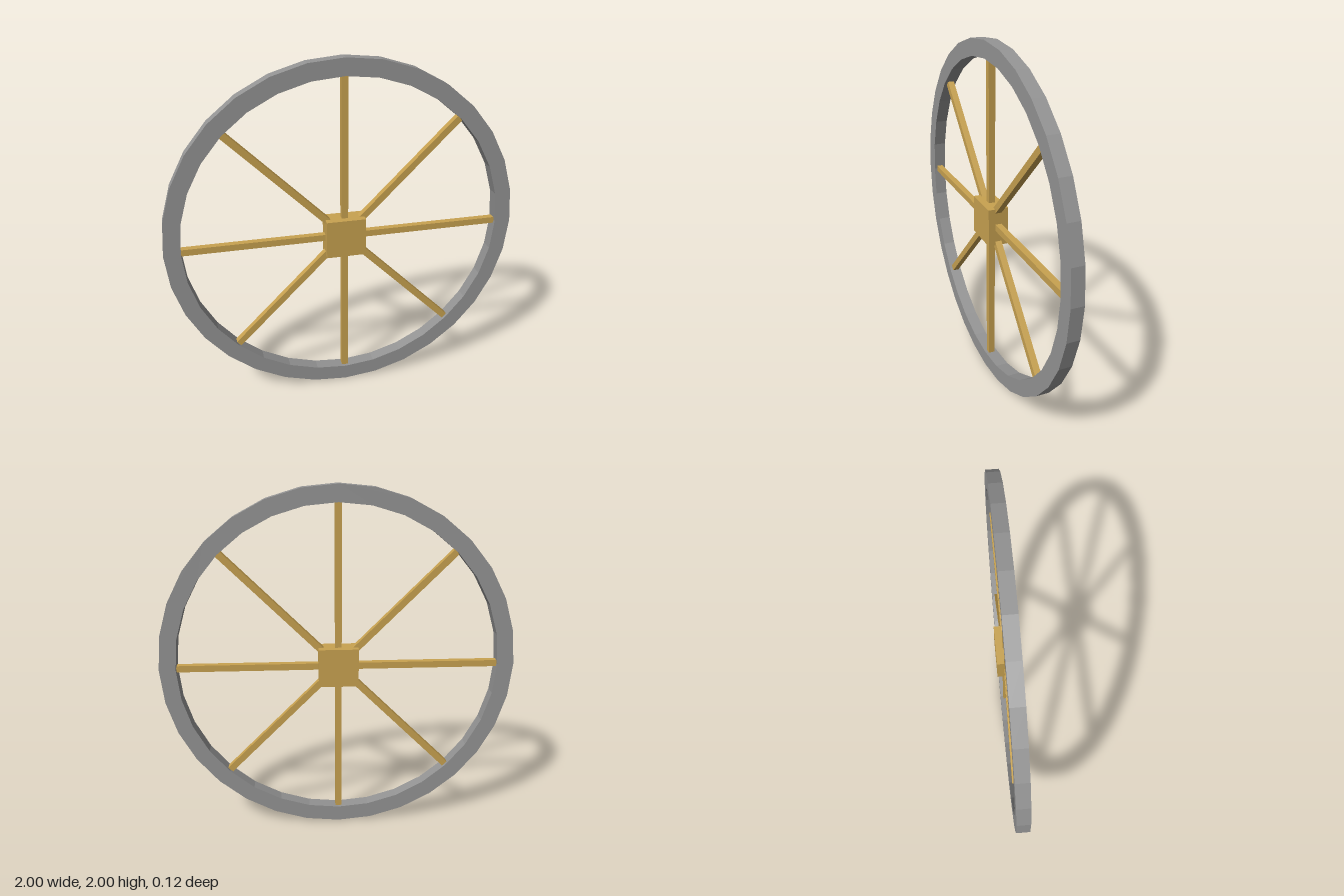
import * as THREE from 'three';

const SIDES = 32, OUTER = 1, INNER = 0.907, RIM_DEPTH = 0.072;
const SPOKES = 8, SPOKE_SIZE = 0.037;

// Corners of a regular polygon with a vertex on each axis
function ring(radius) {
  return Array.from({ length: SIDES }, (_, i) => {
    const a = (i / SIDES) * Math.PI * 2;
    return new THREE.Vector2(Math.cos(a) * radius, Math.sin(a) * radius);
  });
}

export function createModel() {
  const wheel = new THREE.Group();
  wheel.name = 'wheel';
  const iron = new THREE.MeshStandardMaterial({ color: 0x949494, flatShading: true });
  const wood = new THREE.MeshStandardMaterial({ color: 0xc8a250, flatShading: true });

  const add = (name, geometry, material) => {
    const mesh = new THREE.Mesh(geometry, material);
    mesh.name = name;
    wheel.add(mesh);
    return mesh;
  };

  // Faceted rim, a flat ring with square edges
  const shape = new THREE.Shape(ring(OUTER));
  shape.holes.push(new THREE.Path(ring(INNER)));
  const rim = new THREE.ExtrudeGeometry(shape, { depth: RIM_DEPTH, bevelEnabled: false });
  rim.translate(0, 0, -RIM_DEPTH / 2);
  add('rim', rim, iron);

  // Square hub block
  add('hub', new THREE.BoxGeometry(0.224, 0.22, 0.116), wood);

  // Square spokes, from inside the hub to just inside the rim
  const start = 0.05, end = INNER + 0.008;
  const bar = new THREE.BoxGeometry(SPOKE_SIZE, end - start, SPOKE_SIZE);
  bar.translate(0, (start + end) / 2, 0);
  for (let i = 0; i < SPOKES; i++) {
    add(`spoke${i + 1}`, bar, wood).rotation.z = (i / SPOKES) * Math.PI * 2;
  }

  // Stand the wheel on the ground
  wheel.position.y = OUTER;
  const model = new THREE.Group();
  model.name = 'spokedWheel';
  model.add(wheel);
  return model;
}
